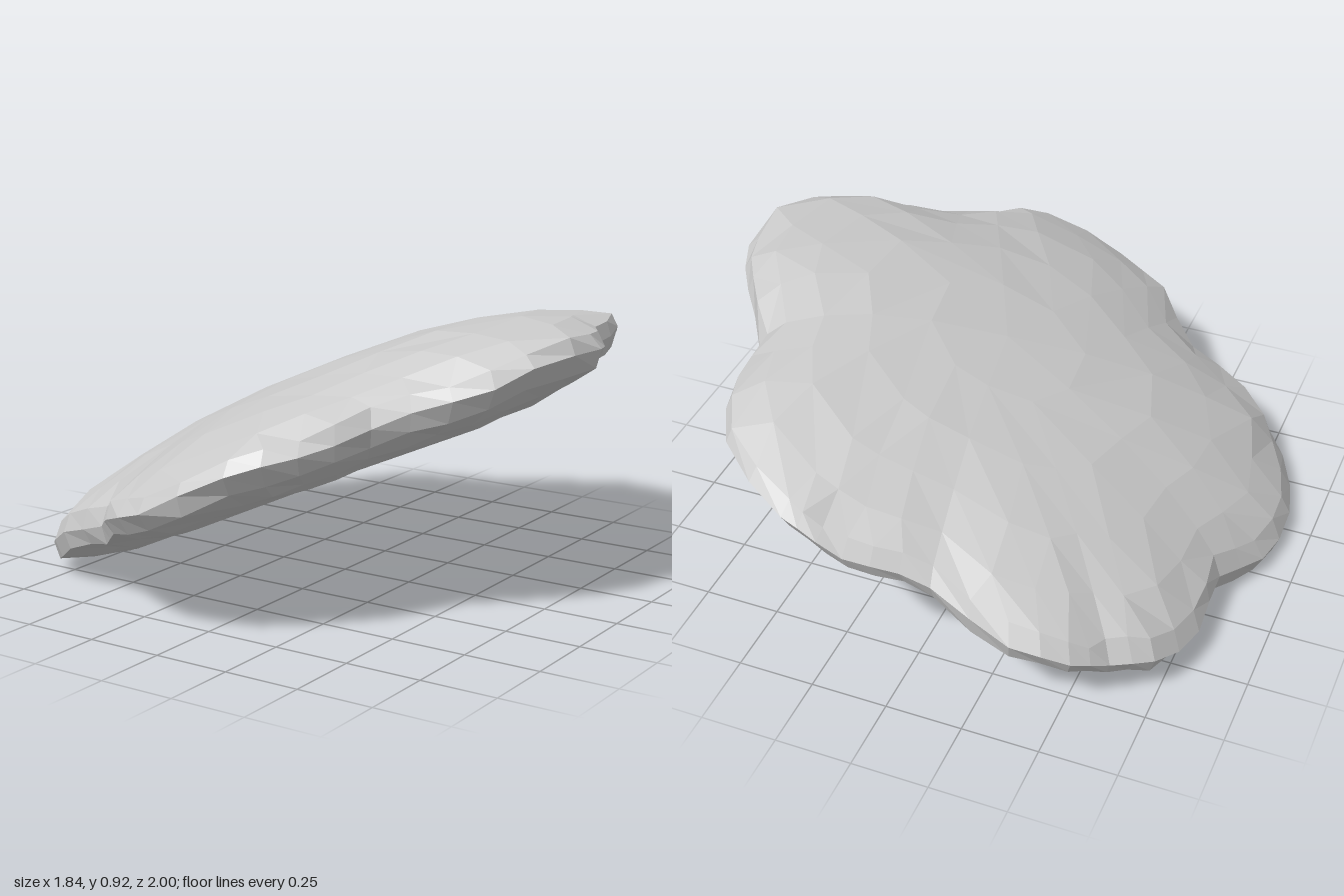
import * as THREE from 'three';

// Plan outline [x, z], running from the back over the -x side to the front
const OUTLINE = [
  [0.32, -0.98], [0.2, -1], [0.05, -0.96], [-0.12, -0.91], [-0.38, -0.94], [-0.55, -0.88], [-0.64, -0.78],
  [-0.75, -0.68], [-0.82, -0.45], [-0.81, -0.2], [-0.9, 0], [-0.92, 0.25], [-0.82, 0.52], [-0.65, 0.66],
  [-0.43, 0.73], [-0.25, 0.92], [-0.06, 1], [0.22, 0.96], [0.38, 0.82], [0.5, 0.62], [0.7, 0.5],
  [0.87, 0.33], [0.92, 0], [0.82, -0.2], [0.68, -0.4], [0.65, -0.62], [0.57, -0.83],
];

// Rings from the top centre over the rim to the underside centre:
// [points, scale of the outline, height above the tilted plane, roughness]
const RINGS = [
  [1, 0, 0.275, 0], [9, 0.28, 0.268, 0.003], [18, 0.52, 0.243, 0.004], [27, 0.72, 0.198, 0.005],
  [36, 0.87, 0.138, 0.007], [54, 0.97, 0.073, 0.007],
  [54, 1, 0.01, 0.007],
  [54, 0.97, -0.052, 0.007], [54, 0.87, -0.088, 0.009], [54, 0.76, -0.108, 0.007], [1, 0, -0.125, 0],
];

// Small repeatable random function, -1 to 1
function seeded(seed) {
  return () => {
    seed = (seed * 16807) % 2147483647;
    return (seed / 2147483647) * 2 - 1;
  };
}

// Sloping middle plane of the slab
const tilt = (x, z) => 0.45 + 0.43 * x - 0.025 * z + 0.025 * z * z;

// The top thins towards front and back, the underside towards +x
const thickness = (height, x, z) => height * (height > 0 ? 1 - 0.25 * z * z : 1 - 0.15 * x);

// Triangles between two closed rings of any point counts
function stitch(a, b, out) {
  const n = a.length, m = b.length;
  const add = (p, q, r) => {
    if (p !== q && q !== r && r !== p) for (const v of [p, q, r]) out.push(v.x, v.y, v.z);
  };
  let i = 0, j = 0;
  while (i < n || j < m) {
    const p = a[i % n], q = b[j % m];
    if (j < m && (i >= n || (j + 1) / m <= (i + 1) / n)) add(p, q, b[++j % m]);
    else add(p, q, a[++i % n]);
  }
}

export function createModel() {
  const random = seeded(417);
  const curve = new THREE.CatmullRomCurve3(OUTLINE.map(([x, z]) => new THREE.Vector3(x, 0, z)), true);

  const rings = RINGS.map(([count, scale, height, rough]) =>
    Array.from({ length: count }, (_, i) => {
      const p = curve.getPoint(i / count);
      // inner rings grow rounder, and all but the rim are roughened
      const radius = THREE.MathUtils.lerp(p.length(), 0.88, 1 - scale);
      p.setLength(radius * (scale === 1 ? 1 : scale + random() * rough * 2));
      // shallow scallops along the edge
      const scallop = scale > 0.9 ? 0.01 * Math.sin((i / count) * Math.PI * 26) : 0;
      p.y = tilt(p.x, p.z) + thickness(height, p.x, p.z) + scallop + random() * rough;
      return p;
    }));

  const positions = [];
  for (let k = 0; k + 1 < rings.length; k++) stitch(rings[k], rings[k + 1], positions);

  const geometry = new THREE.BufferGeometry();
  geometry.setAttribute('position', new THREE.Float32BufferAttribute(positions, 3));

  // Stand on the ground
  geometry.computeBoundingBox();
  geometry.translate(0, -geometry.boundingBox.min.y, 0);
  geometry.computeVertexNormals();

  const slab = new THREE.Mesh(geometry, new THREE.MeshStandardMaterial({ color: 0xcccccc, flatShading: true }));
  slab.name = 'rockSlab';
  const group = new THREE.Group();
  group.name = 'tiltedRock';
  group.add(slab);
  return group;
}
